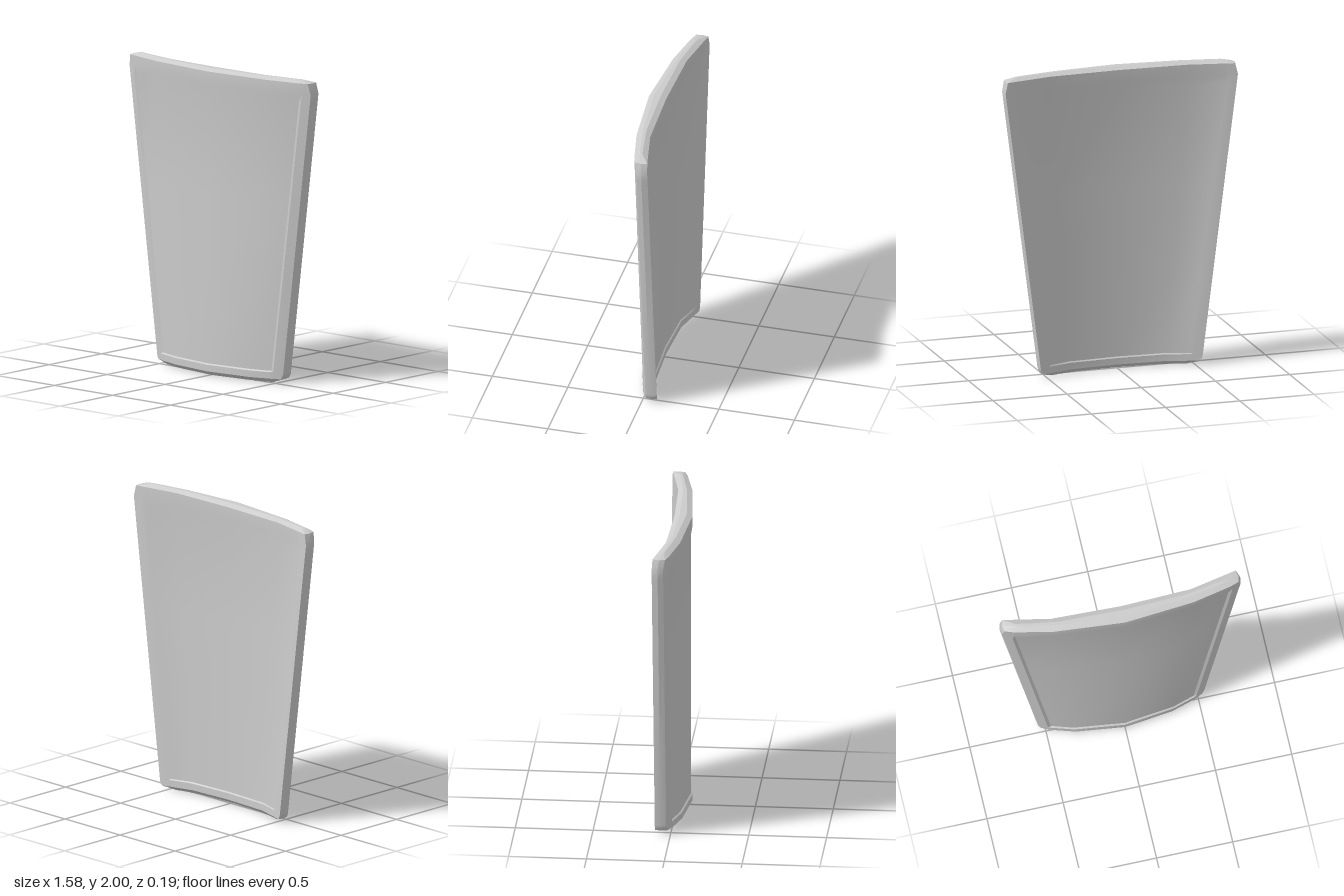
import * as THREE from 'three';
import { toCreasedNormals } from 'three/addons/utils/BufferGeometryUtils.js';

// Bowed depth profiles, as a fraction u of the half width
const FRONT = [[0, 0.095], [0.59, 0.055], [0.91, 0], [1, -0.03]];
const BACK = [[0, -0.02], [0.59, -0.035], [0.98, -0.1], [1, -0.1]];

function sample(profile, u) {
  const a = Math.abs(u);
  let i = 0;
  while (i < profile.length - 2 && a > profile[i + 1][0]) i++;
  const [u0, z0] = profile[i], [u1, z1] = profile[i + 1];
  return z0 + (z1 - z0) * (a - u0) / (u1 - u0);
}

// Rows up the plate: height, width scale, bevel inset, panel recess
const ROWS = [
  [0, 0.846, 0.035, 0],
  [0.027, 0.98, 0, 0],
  [0.055, 1, 0, 0],
  [0.07, 1, 0, 0],
  [0.078, 1, 0, 0.01],
  [0.6, 1, 0, 0.01],
  [1.2, 1, 0, 0.01],
  [1.85, 1, 0, 0.01],
  [1.91, 1, 0, 0],
  [1.982, 0.968, 0, 0],
  [2, 0.87, 0.035, 0],
];

// One closed cross-section: front left to right, side, back right to left, side
function section([y, scale, inset, recess]) {
  const w = 0.5435 + 0.13 * y;
  const half = [0.59, (w - 0.086) / w, (w - 0.066) / w, 0.988];
  const columns = [...half.map((f) => -f).reverse(), 0, ...half];
  const depth = (i) => Math.abs(i - 4);
  const point = (f, z) => [f * scale * w, y, z];
  const front = columns.map((f, i) =>
    point(f, sample(FRONT, f * scale) - inset - (depth(i) < 3 ? recess : 0)));
  const back = columns.map((f, i) => {
    const share = depth(i) < 2 ? 0.8 : depth(i) === 2 ? 0.4 : 0;
    return point(f, sample(BACK, f * scale) + inset + recess * share);
  }).reverse();
  const mid = 0.55 * sample(FRONT, scale) + 0.45 * sample(BACK, scale);
  return [...front, point(1, mid), ...back, point(-1, mid)];
}

function plateGeometry() {
  const loops = ROWS.map(section);
  const n = loops[0].length;
  const last = loops.length - 1;
  const index = [];
  const quad = (a, b, c, d) => index.push(a, b, c, a, c, d);

  // Skin between neighbouring sections
  for (let j = 0; j < last; j++) {
    for (let i = 0; i < n; i++) {
      const k = (i + 1) % n;
      quad(j * n + i, j * n + k, (j + 1) * n + k, (j + 1) * n + i);
    }
  }
  // Bottom and top caps, joining front to back
  const t = last * n;
  for (let i = 0; i < 8; i++) {
    quad(t + i, t + i + 1, t + 17 - i, t + 18 - i);
    quad(18 - i, 17 - i, i + 1, i);
  }
  index.push(t + 8, t + 9, t + 10, t + 18, t + 19, t, 10, 9, 8, 0, 19, 18);

  const geometry = new THREE.BufferGeometry();
  geometry.setAttribute('position', new THREE.Float32BufferAttribute(loops.flat(2), 3));
  geometry.setIndex(index);
  return toCreasedNormals(geometry, 0.4);
}

export function createModel() {
  const group = new THREE.Group();
  group.name = 'curvedPanel';
  const plate = new THREE.Mesh(
    plateGeometry(),
    new THREE.MeshStandardMaterial({ color: 0xcccccc }),
  );
  plate.name = 'plate';
  group.add(plate);
  return group;
}
